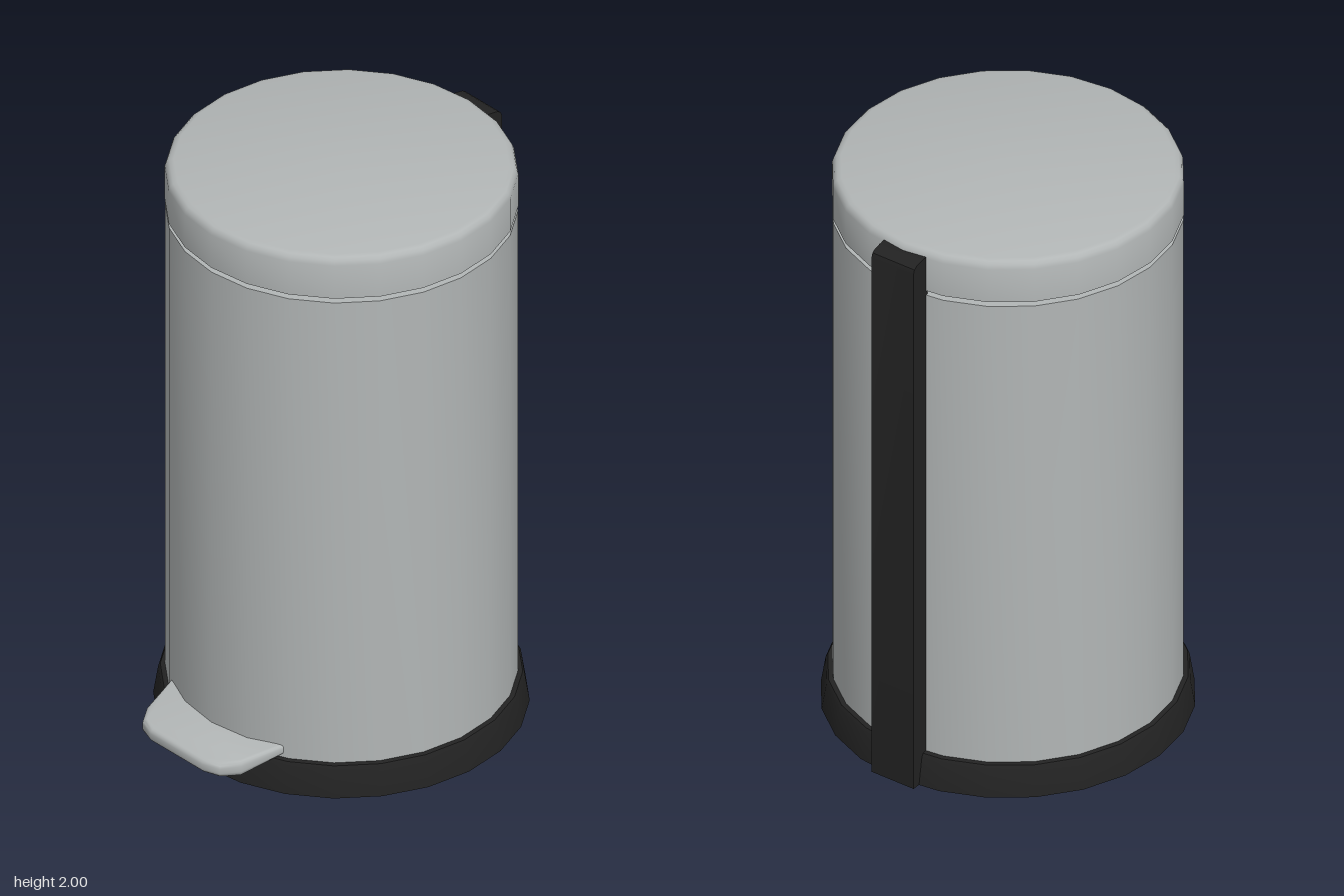
import * as THREE from 'three';
import { toCreasedNormals } from 'three/addons/utils/BufferGeometryUtils.js';

const steel = new THREE.MeshStandardMaterial({ color: 0xb2b6b6 });
steel.name = 'steel';
const black = new THREE.MeshStandardMaterial({ color: 0x222222 });
black.name = 'blackPlastic';

const CENTER_X = 0.045;
const SIDES = 24;

export function createModel() {
  const group = new THREE.Group();
  group.name = 'pedalBin';

  const add = (name, geometry, material, crease = 0.6) => {
    const mesh = new THREE.Mesh(toCreasedNormals(geometry, crease), material);
    mesh.name = name;
    group.add(mesh);
    return mesh;
  };
  const turned = (name, profile, material) => {
    const points = profile.map(([r, y]) => new THREE.Vector2(r, y));
    add(name, new THREE.LatheGeometry(points, SIDES), material).position.x = CENTER_X;
  };
  const outline = (points) => new THREE.Shape(points.map(([x, y]) => new THREE.Vector2(x, y)));

  // Flared base ring, hollow underneath
  turned('baseRing', [[0.52, 0.045], [0.565, 0], [0.592, 0], [0.577, 0.095], [0.57, 0.108],
    [0.565, 0.11], [0.54, 0.11]], black);

  // Drum with its floor and the recessed neck under the lid
  turned('body', [[0, 0.045], [0.555, 0.045], [0.555, 1.833], [0.51, 1.833], [0.51, 1.85]], steel);

  // Lid with a rounded top edge
  turned('lid', [[0.5, 1.85], [0.556, 1.85], [0.556, 1.972], [0.551, 1.987], [0.542, 1.996],
    [0.528, 2], [0, 2]], steel);

  // Hinge strip up the side, rounded at its outer top corner
  const strip = new THREE.ExtrudeGeometry(outline([[0.58, 0], [0.655, 0], [0.655, 1.945],
    [0.65, 1.96], [0.637, 1.969], [0.61, 1.974], [0.58, 1.977]]), { depth: 0.164, bevelEnabled: false });
  strip.translate(0, 0, -0.082);
  add('hingeStrip', strip, black);

  // Foot pedal: bevelled plate, bent upwards towards the drum
  const half = [[-0.44, 0.262], [-0.585, 0.22], [-0.64, 0.18], [-0.66, 0.12]];
  const mirrored = half.map(([x, z]) => [x, -z]).reverse();
  const pedal = new THREE.ExtrudeGeometry(outline([...half, ...mirrored]), {
    depth: 0.016, bevelThickness: 0.014, bevelSize: 0.014, bevelOffset: -0.014, bevelSegments: 3,
  });
  pedal.rotateX(-Math.PI / 2);
  const p = pedal.attributes.position;
  for (let i = 0; i < p.count; i++) {
    const x = p.getX(i);
    const t = (p.getY(i) + 0.014) / 0.044;
    const bottom = 0.08 + Math.max(0, x + 0.53) * 0.45;
    const top = 0.125 + (x + 0.66) * 0.14;
    p.setY(i, bottom + (top - bottom) * t);
  }
  add('pedal', pedal, steel, 0.8);

  return group;
}
